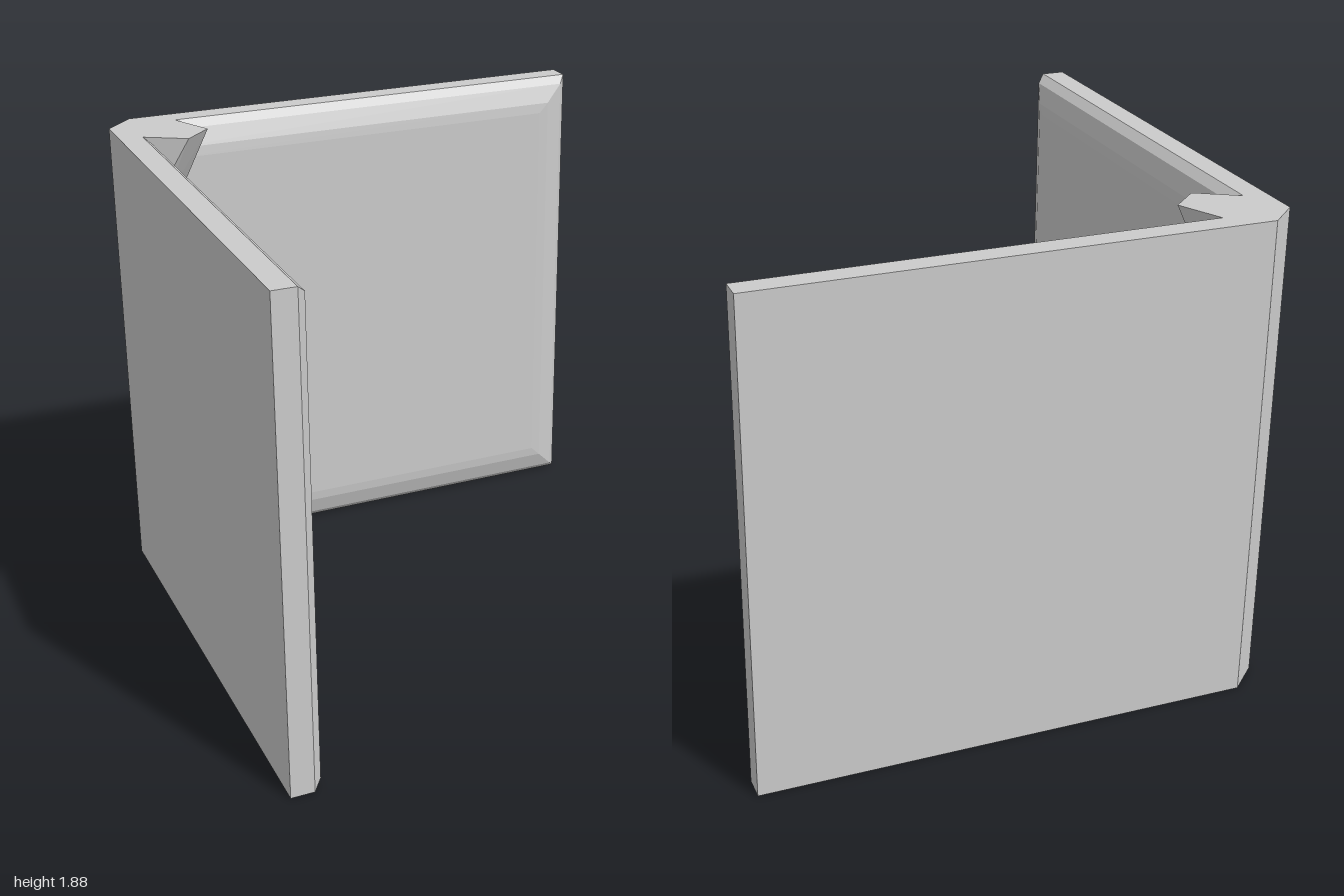
import * as THREE from 'three';

const H = 1.88;      // wall height
const INNER = -0.91; // inner face of both walls

// Faceted solid through rings of points; rings run counterclockwise along the loft axis
function loft(rings) {
  const pos = [];
  const tri = (...pts) => pts.forEach(p => pos.push(...p));
  const n = rings[0].length;
  for (let k = 0; k < rings.length - 1; k++) {
    for (let i = 0; i < n; i++) {
      const j = (i + 1) % n;
      const [a, b, c, d] = [rings[k][i], rings[k][j], rings[k + 1][j], rings[k + 1][i]];
      tri(a, b, c);
      tri(a, c, d);
    }
  }
  const first = rings[0], last = rings[rings.length - 1];
  for (let i = 1; i < n - 1; i++) {
    tri(first[0], first[i + 1], first[i]);
    tri(last[0], last[i], last[i + 1]);
  }
  const geo = new THREE.BufferGeometry();
  geo.setAttribute('position', new THREE.Float32BufferAttribute(pos, 3));
  geo.computeVertexNormals();
  return geo;
}

export function createModel() {
  const group = new THREE.Group();
  const material = new THREE.MeshStandardMaterial({ color: 0xcccccc, flatShading: true });
  const add = (name, geo) => {
    const mesh = new THREE.Mesh(geo, material);
    mesh.name = name;
    group.add(mesh);
    return mesh;
  };

  // L-shaped wall slabs with a chamfered outer corner (shape y becomes z)
  const outline = [[-1, -0.895], [-0.89, -1], [1, -1], [1, INNER], [INNER, INNER], [INNER, 1], [-1, 1]];
  const shape = new THREE.Shape(outline.map(([x, z]) => new THREE.Vector2(x, z)));
  const walls = new THREE.ExtrudeGeometry(shape, { depth: H, bevelEnabled: false });
  walls.rotateX(Math.PI / 2).translate(0, H, 0);
  add('cornerWalls', walls);

  // Raised panel with a rounded bevel: [inset, rise] steps
  const bevel = [[0, 0], [0.03, 0.033], [0.1, 0.056], [0.14, 0.06]];
  const panel = loft(bevel.map(([d, h]) => {
    const z = INNER + h;
    return [[-0.88, d, z], [1 - d, d, z], [1 - d, H - d, z], [-0.88, H - d, z]];
  }));
  add('backPanel', panel);

  // Same panel turned half round the diagonal, swapping x and z
  const side = panel.clone().translate(0, -H / 2, 0);
  side.applyQuaternion(new THREE.Quaternion().setFromAxisAngle(
    new THREE.Vector3(1, 0, 1).normalize(), Math.PI));
  side.translate(0, H / 2, 0);
  add('sidePanel', side);

  // Inner corner post, flaring out at the foot and the head
  const section = (y, b, c) =>
    [[INNER, INNER], [INNER, -0.73], b, c, [-0.73, INNER]].map(([x, z]) => [x, y, z]);
  const flare = [[-0.755, -0.64], [-0.648, -0.74]];
  const slim = [[-0.85, -0.757], [-0.757, -0.85]];
  add('cornerPost', loft([
    section(0, ...flare),
    section(0.31, ...slim),
    section(H - 0.31, ...slim),
    section(H, ...flare),
  ]));

  return group;
}
